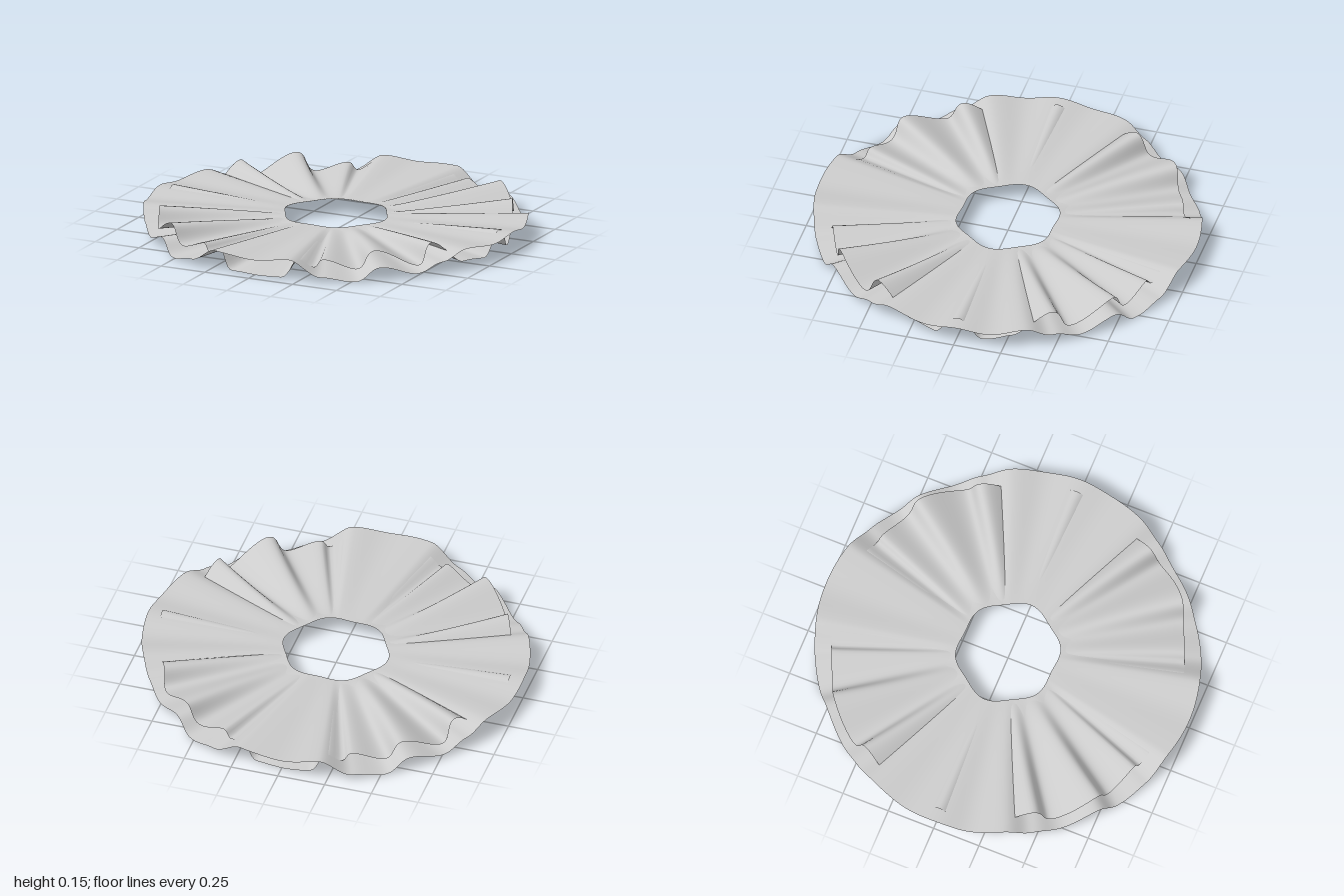
import * as THREE from 'three';

const DEG = Math.PI / 180;

// rim heights of each ruffled sheet: [angle in degrees, y], mirrored into four quadrants
const OUTER_RIM = [[0, 0.11], [10, 0.09], [20, 0.11], [30, 0.06], [40, 0.02], [50, 0.07],
  [60, 0.0], [69, 0.03], [77, 0.115], [90, 0.1]];
const INNER_RIM = [[0, 0.12], [9, 0.0], [19, 0.015], [28, 0.148], [37, 0.05], [48, 0.148],
  [58, 0.05], [67, 0.1], [71, 0.06], [75, 0.1], [82, 0.0], [90, 0.0]];

// eased height between neighbouring folds
function foldHeight(knots, angle) {
  let d = ((angle / DEG) % 180 + 180) % 180;
  if (d > 90) d = 180 - d;
  let i = 0;
  while (i < knots.length - 2 && d > knots[i + 1][0]) i++;
  const [a0, y0] = knots[i];
  const [a1, y1] = knots[i + 1];
  const k = (1 - Math.cos(Math.PI * (d - a0) / (a1 - a0))) / 2;
  return y0 + (y1 - y0) * k;
}

// one pleated ring running from the neck hole to a wavy rim
function ruffle(name, knots, rimRadius, neckY, ripple, lean) {
  const around = 360, rings = 14;
  const pos = [], index = [];
  for (let j = 0; j <= rings; j++) {
    const t = j / rings;
    for (let i = 0; i < around; i++) {
      const a = i / around * Math.PI * 2;
      const rimY = foldHeight(knots, a);
      const neckR = 0.263 + 0.01 * Math.cos(6 * a + 0.4) + 0.008 * Math.cos(2 * a);
      const r = neckR + (rimRadius(a) - neckR) * t;
      const wave = ripple * Math.sin(22 * a) * t;
      const y = Math.max(0, neckY + (rimY - neckY) * t + wave);
      // pleats lean sideways as they rise
      const b = a + lean * Math.sin(2 * a) * (rimY - 0.07) / 0.07 * t;
      pos.push(r * Math.cos(b), y, -r * Math.sin(b));
      if (j < rings) {
        const n = (i + 1) % around;
        const p = j * around + i, q = j * around + n;
        index.push(p, p + around, q, q, p + around, q + around);
      }
    }
  }
  const geo = new THREE.BufferGeometry();
  geo.setAttribute('position', new THREE.Float32BufferAttribute(pos, 3));
  geo.setIndex(index);
  geo.computeVertexNormals();
  const mesh = new THREE.Mesh(geo, new THREE.MeshStandardMaterial({
    color: 0xcccccc, side: THREE.DoubleSide,
  }));
  mesh.name = name;
  return mesh;
}

export function createModel() {
  const group = new THREE.Group();
  group.name = 'ruffledCollar';
  // wide sheet forming the outline
  group.add(ruffle('outerRuffle', OUTER_RIM,
    (a) => 0.985 + 0.015 * Math.cos(4 * a), 0.088, 0.002, 0.04));
  // shorter sheet weaving above and below it
  group.add(ruffle('innerRuffle', INNER_RIM,
    (a) => 0.915 + 0.015 * Math.cos(8 * a), 0.085, 0.003, 0.05));
  return group;
}
